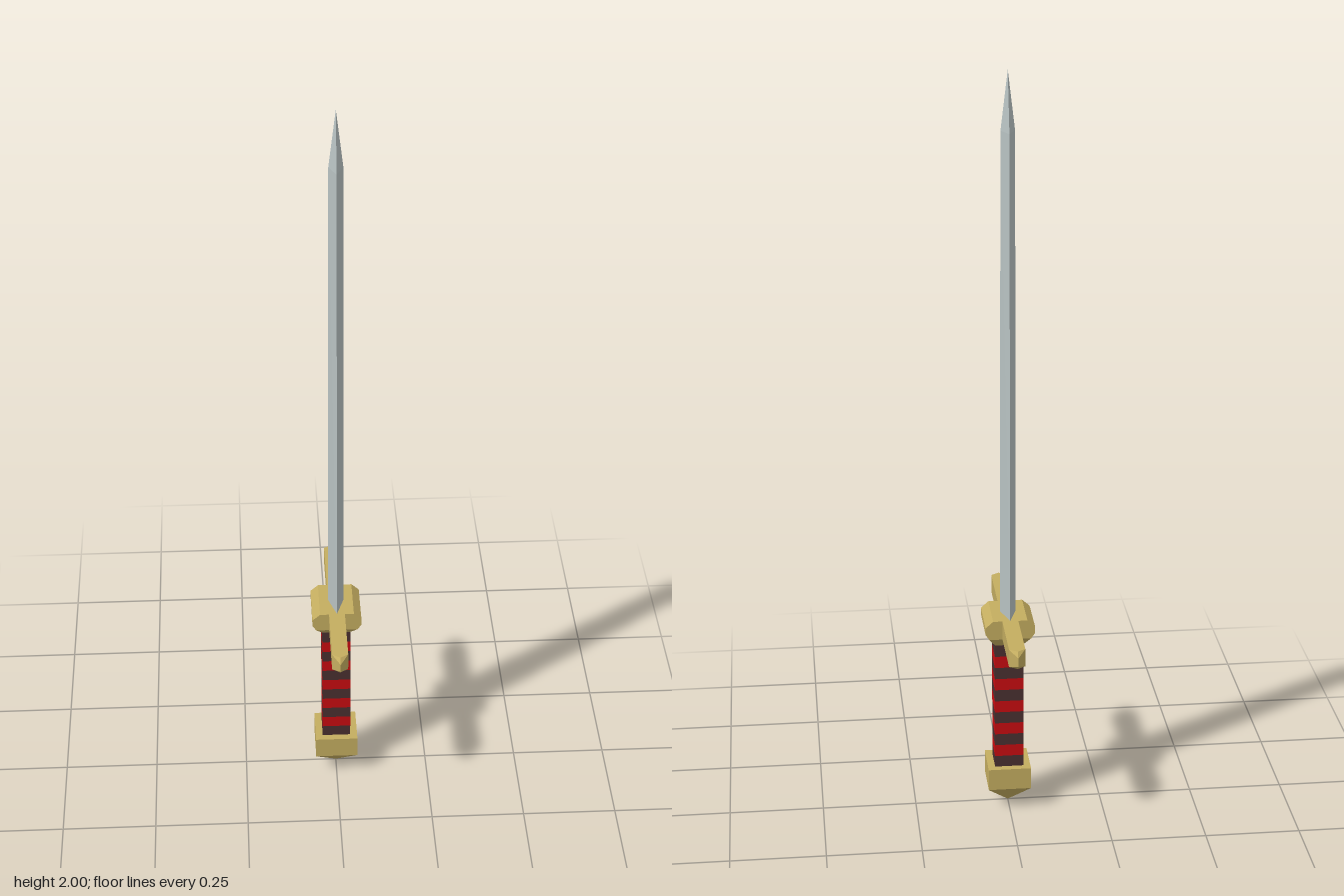
import * as THREE from 'three';
import { ConvexGeometry } from 'three/addons/geometries/ConvexGeometry.js';

const material = (color) => new THREE.MeshStandardMaterial({ color, flatShading: true, side: THREE.DoubleSide });
const V = (x, y, z) => new THREE.Vector3(x, y, z);

// Four corners of a horizontal rectangle
const rect = (y, hx, hz) => [V(hx, y, hz), V(-hx, y, hz), V(-hx, y, -hz), V(hx, y, -hz)];
// Four corners of a horizontal diamond
const diamond = (y, hx, hz) => [V(hx, y, 0), V(-hx, y, 0), V(0, y, hz), V(0, y, -hz)];

export function createModel() {
  const model = new THREE.Group();
  const gold = material(0xc4ad60);
  const steel = material(0xb8c2c2);
  const red = material(0xc80c10);
  const dark = material(0x4a3030);

  const add = (name, geometry, mat, parent = model) => {
    const mesh = new THREE.Mesh(geometry, mat);
    mesh.name = name;
    parent.add(mesh);
    return mesh;
  };
  const solid = (name, points, mat) => add(name, new ConvexGeometry(points), mat);

  // Tapering blade with a diamond section and a sharp point
  solid('blade', [...diamond(0.54, 0.021, 0.063), ...diamond(1.85, 0.018, 0.039), V(0, 2, 0)], steel);

  // Cross guard with faceted, pointed ends
  const top = 0.562, bottom = 0.513;
  const guard = [];
  for (const s of [1, -1]) {
    for (const y of [top, bottom]) guard.push(V(0.021, y, s * 0.233), V(-0.021, y, s * 0.233), V(0, y, s * 0.247));
    guard.push(V(0, 0.549, s * 0.261), V(0, 0.526, s * 0.261));
  }
  solid('crossGuard', guard, gold);

  // Centre block with chamfered sides
  solid('guardBlock', [
    ...rect(top, 0.045, 0.065), ...rect(0.544, 0.065, 0.065),
    ...rect(0.525, 0.065, 0.065), ...rect(0.51, 0.055, 0.065),
  ], gold);

  // Collar narrowing to the grip
  solid('collar', [...rect(0.51, 0.055, 0.065), ...rect(0.48, 0.037, 0.037)], gold);

  // Square grip with alternating bands
  const grip = new THREE.Group();
  grip.name = 'grip';
  model.add(grip);
  const bands = 11, low = 0.12, h = (0.48 - low) / bands;
  for (let i = 0; i < bands; i++) {
    const band = add(i % 2 ? 'redBand' : 'darkBand', new THREE.BoxGeometry(0.076, h, 0.076), i % 2 ? red : dark, grip);
    band.position.y = low + h * (i + 0.5);
  }

  // Square pommel with a pyramid underneath
  solid('pommel', [...rect(0.121, 0.057, 0.057), ...rect(0.061, 0.057, 0.057), V(0, 0, 0)], gold);

  return model;
}
